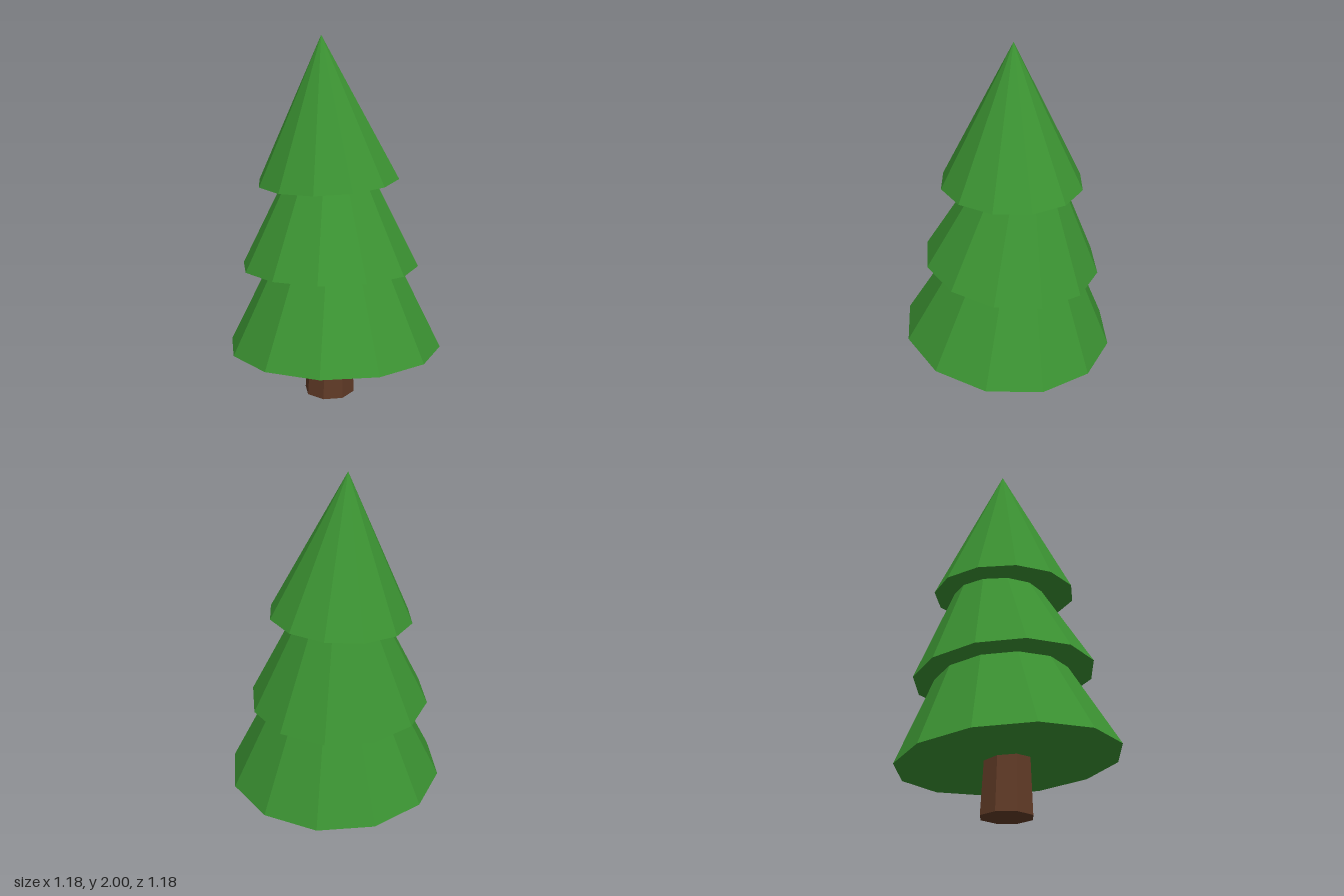
import * as THREE from 'three';

export function createModel() {
  const tree = new THREE.Group();
  tree.name = 'pineTree';

  const green = new THREE.MeshStandardMaterial({ color: 0x3b9232 });
  green.name = 'needleGreen';
  const brown = new THREE.MeshStandardMaterial({ color: 0x603a26 });
  brown.name = 'barkBrown';

  // Un-indexed faces with their own normals give the faceted look.
  function faceted(geometry) {
    const flat = geometry.toNonIndexed();
    flat.computeVertexNormals();
    return flat;
  }

  // Trunk: tapered octagon, leaning slightly while its foot stays level.
  const trunkHeight = 0.6;
  const trunk = new THREE.CylinderGeometry(0.112, 0.142, trunkHeight, 8);
  trunk.translate(0, trunkHeight / 2, 0);
  trunk.applyMatrix4(new THREE.Matrix4().makeShear(0, 0, 0.025, 0, 0, 0));
  const trunkMesh = new THREE.Mesh(faceted(trunk), brown);
  trunkMesh.name = 'trunk';
  trunkMesh.position.x = -0.03;
  tree.add(trunkMesh);

  // Foliage: twelve-sided closed cones; slope is the rise of the base per unit x and z.
  const tiers = [
    { name: 'lowerFoliage', radius: 0.593, height: 1.19, base: [0, 0.29, 0], slope: [0.02, 0.078], turn: 6.3 },
    { name: 'middleFoliage', radius: 0.488, height: 0.97, base: [-0.03, 0.75, -0.015], slope: [0.026, 0.083], turn: 6.5 },
    { name: 'upperFoliage', radius: 0.386, height: 0.767, base: [-0.038, 1.233, -0.013], slope: [0.046, -0.005], turn: 2.7 },
  ];
  const up = new THREE.Vector3(0, 1, 0);
  for (const tier of tiers) {
    const cone = new THREE.ConeGeometry(tier.radius, tier.height, 12);
    cone.translate(0, tier.height / 2, 0);
    cone.rotateY(THREE.MathUtils.degToRad(tier.turn));
    const mesh = new THREE.Mesh(faceted(cone), green);
    mesh.name = tier.name;
    mesh.position.set(...tier.base);
    const axis = new THREE.Vector3(-tier.slope[0], 1, -tier.slope[1]).normalize();
    mesh.quaternion.setFromUnitVectors(up, axis);
    tree.add(mesh);
  }

  return tree;
}
